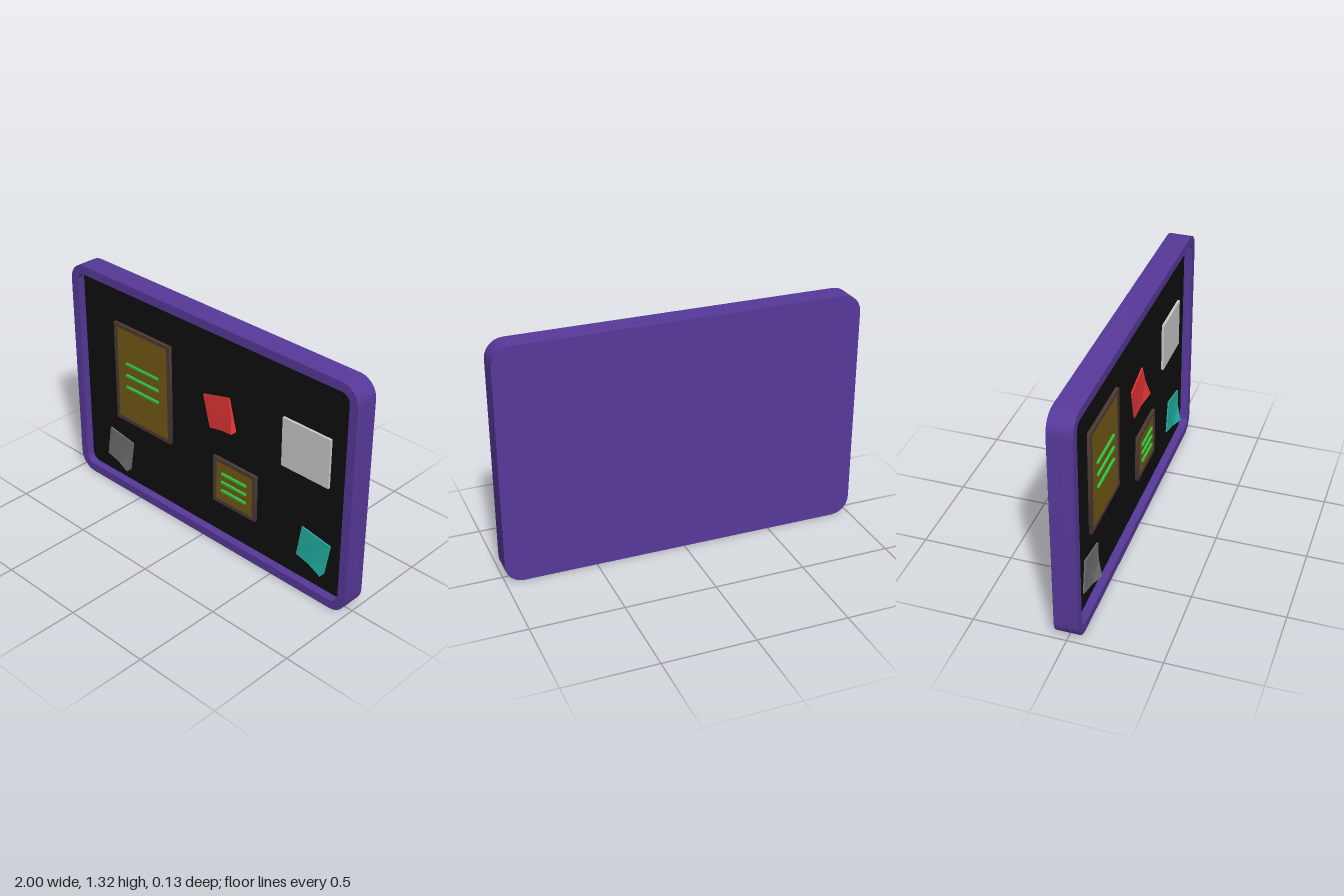
import * as THREE from 'three';
import { toCreasedNormals } from 'three/addons/utils/BufferGeometryUtils.js';

const W = 2, H = 1.32, D = 0.13, BORDER = 0.05;
const BOARD_Z = 0.02; // front face of the black pin surface

const mat = (color) => new THREE.MeshStandardMaterial({ color });
const purple = mat(0x57399a), black = mat(0x0f0f0f), brown = mat(0x4e3a34);
const ochre = mat(0x735a14), green = mat(0x2ecc40);

function add(parent, name, geometry, material, x = 0, y = 0, z = 0) {
  const mesh = new THREE.Mesh(geometry, material);
  mesh.name = name;
  mesh.position.set(x, y, z);
  parent.add(mesh);
  return mesh;
}

// Rounded rectangle centred on the origin
function roundedRect(w, h, r, Type = THREE.Shape) {
  const p = new Type(), x = w / 2, y = h / 2;
  p.moveTo(-x + r, -y);
  p.lineTo(x - r, -y);
  p.absarc(x - r, -y + r, r, -Math.PI / 2, 0);
  p.lineTo(x, y - r);
  p.absarc(x - r, y - r, r, 0, Math.PI / 2);
  p.lineTo(-x + r, y);
  p.absarc(-x + r, y - r, r, Math.PI / 2, Math.PI);
  p.lineTo(-x, -y + r);
  p.absarc(-x + r, -y + r, r, Math.PI, Math.PI * 1.5);
  return p;
}

function extrude(shape, depth) {
  const g = new THREE.ExtrudeGeometry(shape, { depth, bevelEnabled: false, curveSegments: 3 });
  return toCreasedNormals(g, 0.7);
}

// Framed notice with three raised lines of writing
function notice(name, x, y, w, h, lineW, lineY, gap) {
  const g = new THREE.Group(), b = 0.022;
  g.name = name;
  g.position.set(x, y, BOARD_Z);
  const rim = roundedRect(w, h, 0.001);
  rim.holes.push(roundedRect(w - 2 * b, h - 2 * b, 0.001, THREE.Path));
  add(g, 'noticeRim', extrude(rim, 0.018), brown);
  add(g, 'noticePaper', new THREE.BoxGeometry(w - 2 * b, h - 2 * b, 0.014), ochre, 0, 0, 0.007);
  for (let i = -1; i <= 1; i++) {
    add(g, 'writingLine', new THREE.BoxGeometry(lineW, 0.012, 0.012), green, 0, lineY + i * gap, 0.019);
  }
  return g;
}

// Square note whose lower left-hand corner curls away from the board
function stickyNote(name, x, y, angle, color) {
  const s = 0.19, g = new THREE.BoxGeometry(s, s, 0.008, 2, 2, 1);
  const p = g.attributes.position;
  for (let i = 0; i < p.count; i++) {
    const u = Math.max(0, p.getX(i) / s + 0.5), v = Math.max(0, 0.5 - p.getY(i) / s);
    if (p.getZ(i) > 0) p.setZ(i, p.getZ(i) + 0.03 * u * u * v * v);
  }
  const flat = g.toNonIndexed();
  flat.computeVertexNormals();
  const note = new THREE.Mesh(flat, mat(color));
  note.name = name;
  note.position.set(x, y, BOARD_Z + 0.004);
  note.rotation.z = THREE.MathUtils.degToRad(angle);
  return note;
}

export function createModel() {
  const model = new THREE.Group();
  model.name = 'noticeBoard';

  // Solid back slab and raised surrounding frame
  const backDepth = D / 2 + 0.01;
  add(model, 'backSlab', extrude(roundedRect(W, H, 0.1), backDepth), purple, 0, H / 2, -D / 2);
  const frame = roundedRect(W, H, 0.1);
  frame.holes.push(roundedRect(W - 2 * BORDER, H - 2 * BORDER, 0.05, THREE.Path));
  add(model, 'frame', extrude(frame, D - backDepth), purple, 0, H / 2, -D / 2 + backDepth);

  // Dark pin surface inside the frame
  const surface = roundedRect(W - 2 * BORDER, H - 2 * BORDER, 0.05);
  add(model, 'pinSurface', extrude(surface, 0.01), black, 0, H / 2, BOARD_Z - 0.01);

  // Pinned items
  model.add(notice('largeNotice', -0.485, 0.748, 0.43, 0.6, 0.25, 0.002, 0.073));
  model.add(notice('smallNotice', 0.203, 0.385, 0.305, 0.28, 0.175, 0.002, 0.053));
  add(model, 'blankCard', new THREE.BoxGeometry(0.306, 0.28, 0.014), mat(0xcccccc), 0.675, 0.82, BOARD_Z + 0.007);
  model.add(stickyNote('redNote', 0.085, 0.795, 14.5, 0xe53535));
  model.add(stickyNote('greyNote', -0.698, 0.23, -9.5, 0x707070));
  model.add(stickyNote('tealNote', 0.747, 0.262, -9.5, 0x22b0a2));

  return model;
}
